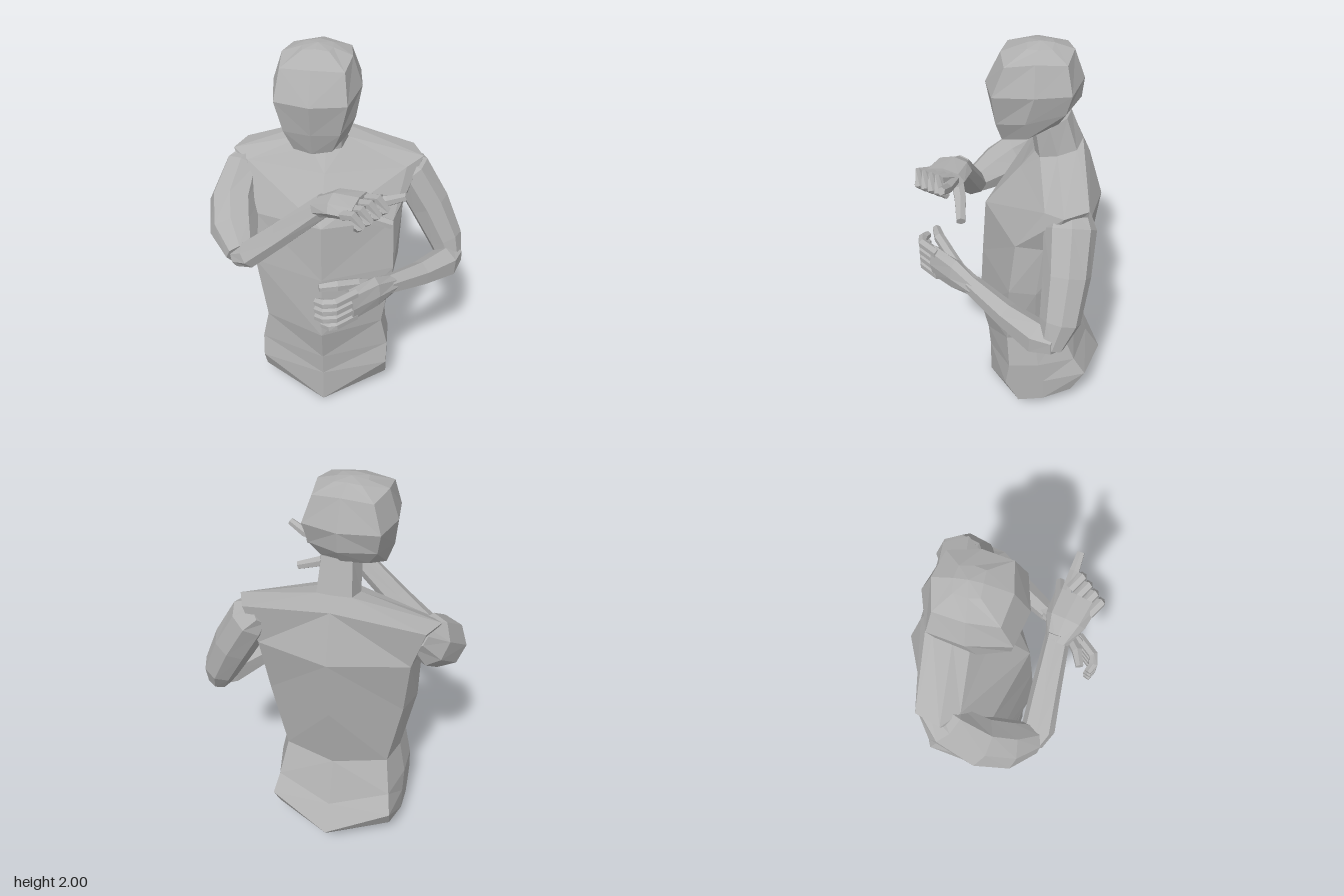
import * as THREE from 'three';

const V = (x, y, z) => new THREE.Vector3(x, y, z);

// Skin a list of equal-sized rings; ends close in a fan to a tip point.
function loft(rings, startTip, endTip) {
  const pos = [];
  const tri = (...p) => p.forEach(v => pos.push(v.x, v.y, v.z));
  const middle = r => r.reduce((s, p) => s.add(p), V(0, 0, 0)).divideScalar(r.length);
  const first = rings[0], last = rings[rings.length - 1], n = first.length;
  const a = startTip || middle(first), b = endTip || middle(last);
  for (let j = 0; j < n; j++) {
    const k = (j + 1) % n;
    for (let i = 0; i < rings.length - 1; i++) {
      const lo = rings[i], hi = rings[i + 1];
      // Mirror the diagonals on the second half of the ring
      if (j < n / 2) {
        tri(lo[j], lo[k], hi[k]);
        tri(lo[j], hi[k], hi[j]);
      } else {
        tri(lo[j], lo[k], hi[j]);
        tri(lo[k], hi[k], hi[j]);
      }
    }
    tri(a, first[k], first[j]);
    tri(b, last[j], last[k]);
  }
  const g = new THREE.BufferGeometry();
  g.setAttribute('position', new THREE.Float32BufferAttribute(pos, 3));
  g.computeVertexNormals();
  return g;
}

// Full mirrored ring from: front [y,z], then corner, side, back corner [x,y,z], then back [y,z].
function mirroredRing([front, corner, side, rear, back]) {
  const half = [corner, side, rear];
  return [
    V(0, ...front), ...half.map(p => V(...p)),
    V(0, ...back), ...half.slice().reverse().map(([x, y, z]) => V(-x, y, z)),
  ];
}

// Limb through stations [x, y, z, radius along ref, radius across].
function limb(stations, ref, sides = 6) {
  const c = stations.map(s => V(s[0], s[1], s[2]));
  const rings = stations.map((s, i) => {
    const d = c[Math.min(i + 1, c.length - 1)].clone().sub(c[Math.max(i - 1, 0)]).normalize();
    const u = ref.clone().addScaledVector(d, -ref.dot(d)).normalize();
    const v = d.clone().cross(u);
    return Array.from({ length: sides }, (_, j) => {
      const t = (j / sides) * Math.PI * 2;
      return c[i].clone().addScaledVector(u, Math.cos(t) * s[3])
        .addScaledVector(v, Math.sin(t) * (s[4] ?? s[3]));
    });
  });
  return loft(rings);
}

export function createModel() {
  const model = new THREE.Group();
  model.name = 'figure';
  const grey = new THREE.MeshStandardMaterial({ color: 0xb2b2b2, flatShading: true });
  grey.name = 'clay grey';
  const X = V(1, 0, 0), Y = V(0, 1, 0), Z = V(0, 0, 1);

  const add = (name, geometry, parent = model) => {
    const mesh = new THREE.Mesh(geometry, grey);
    mesh.name = name;
    parent.add(mesh);
    return mesh;
  };
  const finger = (name, pts, parent, r) =>
    add(name, limb(pts.map((p, i) => [...p, i === pts.length - 1 ? r * 0.75 : r]), Y), parent);

  // Torso, from the hips up to the neck
  const torso = [
    [[0, 0.13], [0.335, 0.1, -0.02], [0.335, 0.11, -0.15], [0.3, 0.14, -0.3], [0.08, -0.4]],
    [[0.2, 0.13], [0.335, 0.235, 0.05], [0.335, 0.24, -0.15], [0.31, 0.27, -0.37], [0.17, -0.48]],
    [[0.33, 0.14], [0.335, 0.36, 0.03], [0.335, 0.36, -0.12], [0.29, 0.36, -0.31], [0.3, -0.4]],
    [[0.52, 0.18], [0.3, 0.53, 0.04], [0.3, 0.53, -0.1], [0.26, 0.53, -0.24], [0.53, -0.32]],
    [[0.87, 0.16], [0.35, 0.88, 0.03], [0.37, 0.88, -0.1], [0.33, 0.9, -0.26], [0.9, -0.39]],
    [[1.17, 0.14], [0.34, 1.15, 0.0], [0.38, 1.16, -0.13], [0.36, 1.2, -0.31], [1.22, -0.43]],
    [[1.375, -0.03], [0.39, 1.375, -0.13], [0.47, 1.395, -0.21], [0.42, 1.4, -0.325], [1.46, -0.36]],
    [[1.46, -0.1], [0.075, 1.47, -0.12], [0.1, 1.49, -0.2], [0.08, 1.51, -0.29], [1.53, -0.325]],
    [[1.59, -0.08], [0.07, 1.6, -0.1], [0.095, 1.63, -0.16], [0.07, 1.67, -0.24], [1.68, -0.265]],
  ];
  add('torso', loft(torso.map(mirroredRing), V(0, 0.025, -0.15))).position.x = -0.065;

  // Head, turned slightly to one side
  const head = [
    [[1.54, 0.07], [0.09, 1.55, 0.05], [0.15, 1.59, -0.07], [0.11, 1.65, -0.21], [1.66, -0.255]],
    [[1.65, 0.1], [0.13, 1.65, 0.075], [0.182, 1.68, -0.06], [0.155, 1.72, -0.24], [1.735, -0.31]],
    [[1.8, 0.13], [0.165, 1.8, 0.09], [0.205, 1.82, -0.1], [0.175, 1.82, -0.265], [1.83, -0.32]],
    [[1.945, 0.06], [0.145, 1.935, 0.035], [0.16, 1.957, -0.1], [0.135, 1.945, -0.24], [1.965, -0.27]],
    [[1.992, -0.06], [0.06, 1.985, -0.06], [0.07, 1.985, -0.11], [0.06, 1.985, -0.17], [1.993, -0.18]],
  ];
  const headMesh = add('head', loft(head.map(mirroredRing), V(0, 1.61, -0.08), V(0, 2, -0.12)));
  headMesh.position.x = -0.105;
  headMesh.rotation.y = -0.07;

  // Left arm, hanging with the forearm across the waist
  const leftArm = new THREE.Group();
  leftArm.name = 'leftArm';
  add('leftUpperArm', limb([
    [0.28, 1.35, -0.25, 0.09, 0.06], [0.34, 1.3, -0.245, 0.12, 0.105],
    [0.445, 1.12, -0.23, 0.11, 0.105], [0.54, 0.93, -0.2, 0.095, 0.09],
    [0.58, 0.81, -0.16, 0.06, 0.06],
  ], Z, 8), leftArm);
  add('leftForearm', limb([
    [0.59, 0.84, -0.18, 0.06], [0.545, 0.835, -0.1, 0.085, 0.08],
    [0.42, 0.86, 0.04, 0.065, 0.063], [0.26, 0.915, 0.21, 0.05, 0.048],
  ], Y), leftArm);
  add('leftPalm', limb([
    [0.28, 0.91, 0.19, 0.046, 0.045], [0.2, 0.925, 0.285, 0.09, 0.045],
    [0.09, 0.92, 0.39, 0.1, 0.038],
  ], Y, 8), leftArm);
  for (let i = 0; i < 4; i++) {
    const y = 0.99 - i * 0.045, s = i === 3 ? 0.03 : 0;
    finger('leftFinger', [
      [0.12, y, 0.375], [0.03, y - 0.002, 0.455], [-0.02 + s, y - 0.008, 0.458], [-0.06 + s, y - 0.015, 0.435],
    ], leftArm, 0.025);
  }
  finger('leftThumb', [[0.2, 0.95, 0.26], [0.12, 1.0, 0.32], [0.03, 1.022, 0.37], [-0.05, 1.02, 0.39]], leftArm, 0.028);
  model.add(leftArm);

  // Right arm, raised in front of the chest
  const rightArm = new THREE.Group();
  rightArm.name = 'rightArm';
  add('rightUpperArm', limb([
    [-0.43, 1.35, -0.27, 0.07, 0.06], [-0.485, 1.29, -0.2, 0.1, 0.12],
    [-0.52, 1.18, -0.05, 0.12, 0.125], [-0.5, 1.105, 0.08, 0.118, 0.11],
    [-0.445, 1.05, 0.2, 0.075, 0.07],
  ], X, 8), rightArm);
  add('rightForearm', limb([
    [-0.47, 1.03, 0.2, 0.05, 0.05], [-0.4, 1.065, 0.22, 0.065, 0.08],
    [-0.24, 1.205, 0.235, 0.06, 0.07], [-0.03, 1.4, 0.26, 0.054, 0.056],
  ], Y, 8), rightArm);
  add('rightPalm', limb([
    [-0.07, 1.38, 0.255, 0.045, 0.055], [0.02, 1.425, 0.285, 0.052, 0.095],
    [0.13, 1.44, 0.325, 0.045, 0.105],
  ], Y, 8), rightArm);
  for (let i = 0; i < 4; i++) {
    const x = 0.06 + i * 0.034, y = 1.43 + i * 0.01, z = 0.385 - i * 0.032;
    finger('rightCurledFinger', [
      [x, y, z], [x + 0.05, y + 0.03, z + 0.045], [x + 0.075, y - 0.02, z + 0.05], [x + 0.06, y - 0.055, z + 0.015],
    ], rightArm, 0.025);
  }
  finger('rightIndexFinger', [[0.14, 1.44, 0.27], [0.25, 1.46, 0.3], [0.33, 1.5, 0.32]], rightArm, 0.025);
  finger('rightThumb', [[0.04, 1.39, 0.27], [0.15, 1.335, 0.25], [0.27, 1.295, 0.245]], rightArm, 0.03);
  model.add(rightArm);

  return model;
}
